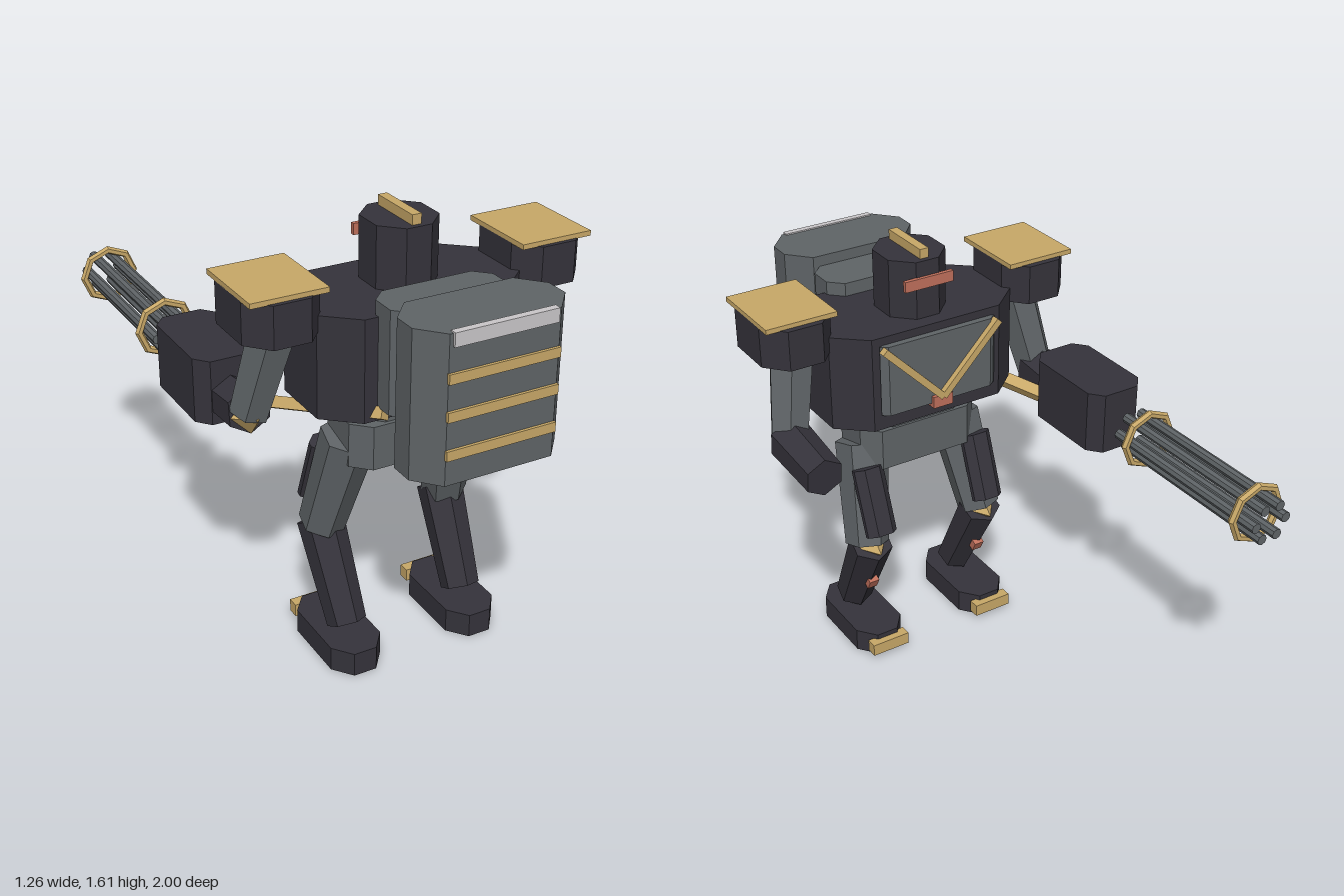
import * as THREE from 'three';

const V = (x, y, z) => new THREE.Vector3(x, y, z);

function material(name, color) {
  const m = new THREE.MeshStandardMaterial({ color });
  m.name = name;
  m.flatShading = true;
  return m;
}

export function createModel() {
  const dark = material('darkArmour', 0x35333b);
  const grey = material('greyMetal', 0x5f6467);
  const gold = material('goldTrim', 0xc8a868);
  const silver = material('silverPanel', 0xcac7c9);
  const red = material('redSensor', 0xc0705c);

  const model = new THREE.Group();
  model.name = 'walkerRobot';
  const body = new THREE.Group();
  body.name = 'body';
  body.position.x = 0.0075;
  model.add(body);

  const add = (parent, name, geometry, mat) => {
    const mesh = new THREE.Mesh(geometry, mat);
    mesh.name = name;
    parent.add(mesh);
    return mesh;
  };

  // Plain box given by its extents
  const box = (parent, name, mat, [x0, x1], [y0, y1], [z0, z1]) => {
    const mesh = add(parent, name, new THREE.BoxGeometry(x1 - x0, y1 - y0, z1 - z0), mat);
    mesh.position.set((x0 + x1) / 2, (y0 + y1) / 2, (z0 + z1) / 2);
    return mesh;
  };

  // Block whose four upright edges are cut off, given by its extents
  const block = (parent, name, mat, [x0, x1], [y0, y1], [z0, z1], cx, cz = cx) => {
    const w = (x1 - x0) / 2, d = (z1 - z0) / 2, h = y1 - y0;
    const shape = new THREE.Shape([
      [w - cx, -d], [w, cz - d], [w, d - cz], [w - cx, d],
      [cx - w, d], [-w, d - cz], [-w, cz - d], [cx - w, -d],
    ].map(([x, y]) => new THREE.Vector2(x, y)));
    const g = new THREE.ExtrudeGeometry(shape, { depth: h, bevelEnabled: false });
    g.translate(0, 0, -h / 2).rotateX(-Math.PI / 2);
    const mesh = add(parent, name, g, mat);
    mesh.position.set((x0 + x1) / 2, (y0 + y1) / 2, (z0 + z1) / 2);
    return mesh;
  };

  // Tapered prism between two points
  const limb = (parent, name, mat, a, b, ra, rb, sides = 6) => {
    const dir = b.clone().sub(a);
    const mesh = add(parent, name, new THREE.CylinderGeometry(rb, ra, dir.length(), sides), mat);
    mesh.position.copy(a).lerp(b, 0.5);
    mesh.quaternion.setFromUnitVectors(V(0, 1, 0), dir.normalize());
    return mesh;
  };

  // Square bar between two points
  const bar = (parent, name, mat, a, b, w, d) => {
    const dir = b.clone().sub(a);
    const mesh = add(parent, name, new THREE.BoxGeometry(w, dir.length(), d), mat);
    mesh.position.copy(a).lerp(b, 0.5);
    mesh.quaternion.setFromUnitVectors(V(0, 1, 0), dir.normalize());
    return mesh;
  };

  // Trunk
  block(body, 'torso', dark, [-0.377, 0.377], [1.0, 1.36], [0.19, 0.62], 0.115, 0.1);
  block(body, 'waist', grey, [-0.18, 0.18], [0.92, 1.0], [0.29, 0.53], 0.05);
  block(body, 'pelvis', grey, [-0.243, 0.243], [0.77, 0.93], [0.28, 0.545], 0.06);

  // Chest panel with V trim and sensor
  block(body, 'chestPanel', grey, [-0.235, 0.235], [1.06, 1.33], [0.165, 0.2], 0.025, 0.02);
  for (const s of [-1, 1]) {
    bar(body, 'chestTrim', gold, V(s * 0.235, 1.325, 0.157), V(0, 1.085, 0.157), 0.026, 0.028);
  }
  box(body, 'chestSensor', red, [-0.04, 0.04], [1.045, 1.09], [0.15, 0.19]);

  // Head
  block(body, 'head', dark, [-0.116, 0.116], [1.35, 1.575], [0.247, 0.5], 0.07);
  box(body, 'headCrest', gold, [-0.017, 0.017], [1.57, 1.61], [0.267, 0.482]);
  box(body, 'visor', red, [-0.097, 0.097], [1.478, 1.518], [0.234, 0.25]);

  // Backpack
  block(body, 'backpackMount', grey, [-0.215, 0.215], [1.05, 1.41], [0.55, 0.74], 0.05);
  block(body, 'backpack', grey, [-0.27, 0.27], [0.945, 1.45], [0.735, 0.99], 0.075, 0.085);
  for (const y of [1.052, 1.182, 1.307]) {
    box(body, 'backpackStripe', gold, [-0.197, 0.197], [y - 0.017, y + 0.017], [0.97, 1.0]);
  }
  box(body, 'backpackVent', silver, [-0.183, 0.183], [1.408, 1.455], [0.975, 1.0]);

  for (const s of [-1, 1]) {
    const side = s > 0 ? 'left' : 'right';
    const span = (a, b) => (s > 0 ? [a, b] : [-b, -a]);

    // Arm
    const arm = new THREE.Group();
    arm.name = side + 'Arm';
    body.add(arm);
    block(arm, 'shoulder', dark, span(0.353, 0.622), [1.305, 1.452], [0.232, 0.58], 0.07, 0.08);
    box(arm, 'shoulderPlate', gold, span(0.353, 0.622), [1.45, 1.468], [0.255, 0.565]);
    limb(arm, 'upperArm', grey, V(s * 0.455, 1.35, 0.415), V(s * 0.527, 0.98, 0.335), 0.088, 0.072);
    limb(arm, 'forearm', dark, V(s * 0.527, 0.985, 0.335), V(s * 0.527, 0.957, 0.075), 0.083, 0.075);
    limb(arm, 'elbowSpike', gold, V(s * 0.527, 0.97, 0.335), V(s * 0.527, 0.978, 0.405), 0.07, 0, 4);

    // Leg
    const leg = new THREE.Group();
    leg.name = side + 'Leg';
    body.add(leg);
    limb(leg, 'thigh', grey, V(s * 0.2, 0.84, 0.41), V(s * 0.25, 0.46, 0.305), 0.1, 0.083);
    const guard = block(leg, 'thighGuard', dark, [-0.06, 0.06], [-0.13, 0.13], [-0.04, 0.04], 0.03);
    guard.position.set(s * 0.235, 0.66, 0.265);
    guard.rotation.x = 0.36;
    limb(leg, 'shin', dark, V(s * 0.245, 0.465, 0.285), V(s * 0.235, 0.13, 0.46), 0.083, 0.07);
    limb(leg, 'kneeSpike', gold, V(s * 0.245, 0.46, 0.3), V(s * 0.245, 0.45, 0.208), 0.07, 0, 4);
    const light = add(leg, 'shinSensor', new THREE.BoxGeometry(0.04, 0.045, 0.025), red);
    light.position.set(s * 0.24, 0.27, 0.3);
    light.rotation.x = -0.48;
    block(leg, 'foot', dark, span(0.137, 0.333), [0, 0.09], [0.2, 0.595], 0.055, 0.07);
    box(leg, 'toe', gold, span(0.158, 0.312), [0.022, 0.07], [0.172, 0.215]);
  }

  // Rotary gun on the right forearm
  const gun = new THREE.Group();
  gun.name = 'rotaryGun';
  gun.position.set(-0.519, 0.995, 0);
  model.add(gun);
  block(gun, 'gunBody', dark, [-0.113, 0.113], [-0.115, 0.118], [-0.205, 0.195], 0.042, 0.05);
  for (let i = 0; i < 6; i++) {
    const a = i * Math.PI / 3, x = 0.063 * Math.cos(a), y = 0.063 * Math.sin(a);
    limb(gun, 'barrel', grey, V(x, y, -0.28), V(x, y, -1), 0.019, 0.019, 8);
  }
  for (const z of [-0.365, -0.925]) {
    const ring = add(gun, 'barrelRing', new THREE.TorusGeometry(0.1, 0.015, 6, 8), gold);
    ring.position.z = z;
  }

  // Ammunition belt from gun to backpack
  bar(model, 'ammoBelt', gold, V(-0.46, 0.935, 0.17), V(-0.19, 1.03, 0.64), 0.045, 0.04);

  return model;
}
